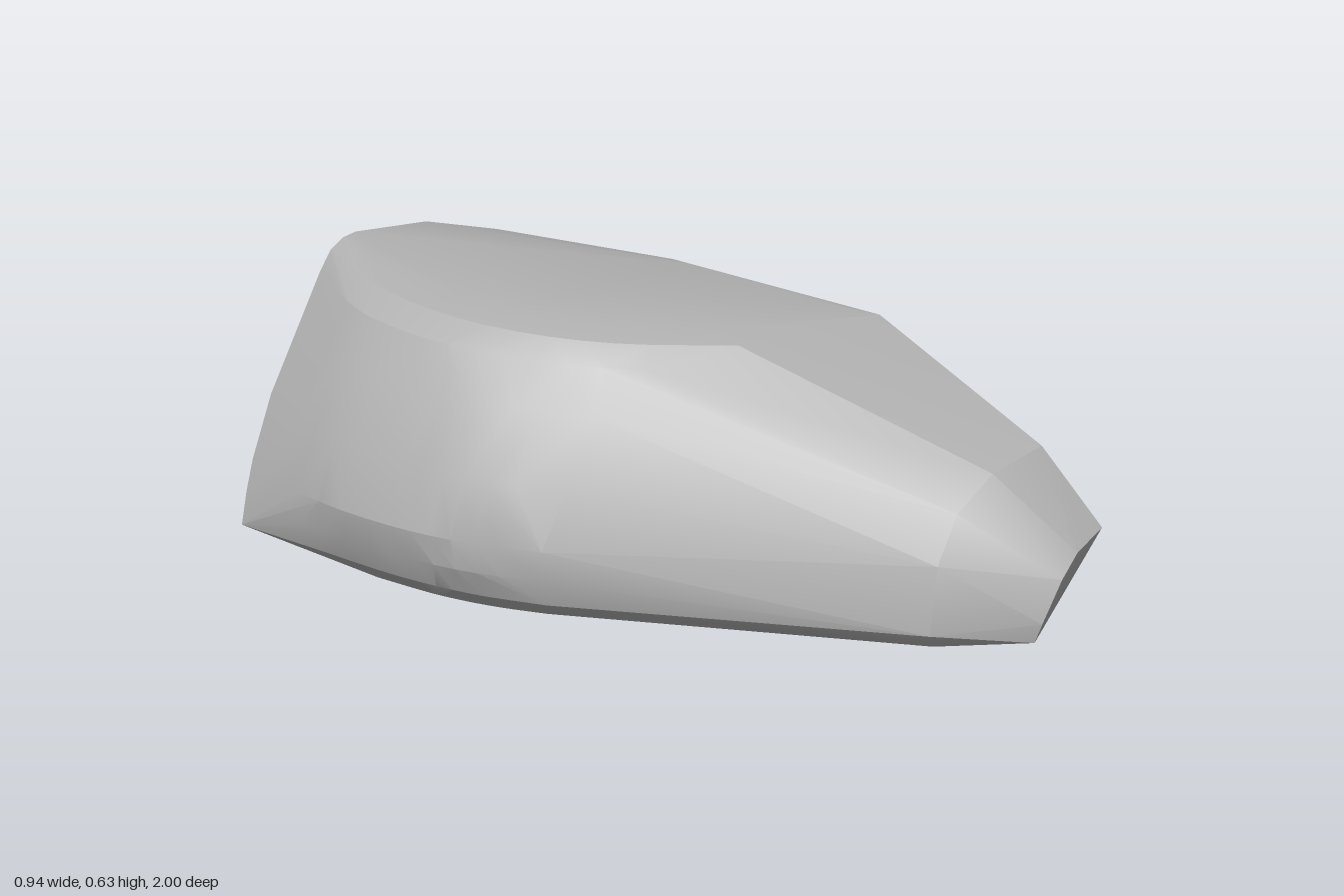
import * as THREE from 'three';
import { ConvexGeometry } from 'three/addons/geometries/ConvexGeometry.js';
import { toCreasedNormals } from 'three/addons/utils/BufferGeometryUtils.js';

// Height contours of the rounded side: [y, [x, z] from front to back]
const contours = [
  [0.0, [[-0.34, -0.02], [-0.385, -0.15], [-0.41, -0.3], [-0.41, -0.5]]],
  [0.03, [[-0.365, 0.0], [-0.42, -0.18], [-0.44, -0.4], [-0.425, -0.65]]],
  [0.09, [[-0.38, 0.0], [-0.445, -0.18], [-0.465, -0.4], [-0.44, -0.69], [-0.35, -0.985]]],
  [0.16, [[-0.38, 0.0], [-0.45, -0.19], [-0.475, -0.4], [-0.445, -0.69], [-0.325, -0.99]]],
  [0.3, [[-0.32, 0.02], [-0.41, -0.18], [-0.44, -0.4], [-0.415, -0.67], [-0.255, -1]]],
  [0.46, [[-0.24, 0.03], [-0.33, -0.18], [-0.36, -0.4], [-0.33, -0.67], [-0.155, -1]]],
  [0.56, [[0.02, 0.22], [-0.17, 0.02], [-0.26, -0.2], [-0.3, -0.42], [-0.26, -0.7], [-0.095, -1]]],
  [0.605, [[0.06, 0.2], [-0.12, 0.0], [-0.21, -0.2], [-0.24, -0.45], [-0.19, -0.72], [-0.06, -1]]],
  [0.625, [[0.1, 0.14], [-0.04, -0.02], [-0.12, -0.2], [-0.15, -0.45], [-0.11, -0.72], [-0.02, -1]]],
];

// Corners of the nose, cut underside, back and roof
const corners = [
  [0.47, 0.245, 0.97], [0.25, 0.015, 0.97], [0.45, 0.55, -0.97], [-0.37, 0.015, -0.98],
  [0.26, 0.06, 0.985], [0.31, 0.16, 1], [0.37, 0.21, 0.99],
  [0.1, 0, 0.79], [0.08, 0.03, 0.8], [0.11, 0.19, 0.795], [0.18, 0.3, 0.79],
  [0.29, 0.375, 0.795], [0.445, 0.41, 0.8],
  [0.45, 0.61, 0.27], [0.464, 0.56, -0.1], [0.45, 0.6, -0.4],
  [0.4, 0.622, 0.15], [0.4, 0.622, -0.3], [0.25, 0.605, -1],
  [0.02, 0.63, -1], [0.0, 0.632, -0.3],
];

export function createModel() {
  const group = new THREE.Group();
  group.name = 'roundedWedge';
  const grey = new THREE.MeshStandardMaterial({ color: 0xb0b0b0 });
  grey.name = 'grey';

  const points = corners.map(p => new THREE.Vector3(...p));
  for (const [y, ring] of contours) {
    const curve = new THREE.CatmullRomCurve3(ring.map(([x, z]) => new THREE.Vector3(x, y, z)));
    points.push(...curve.getPoints(14));
  }

  // One convex shell over the contours, soft on the bulge and sharp at the cuts
  const shell = new THREE.Mesh(toCreasedNormals(new ConvexGeometry(points), 0.3), grey);
  shell.name = 'shell';
  group.add(shell);
  return group;
}
